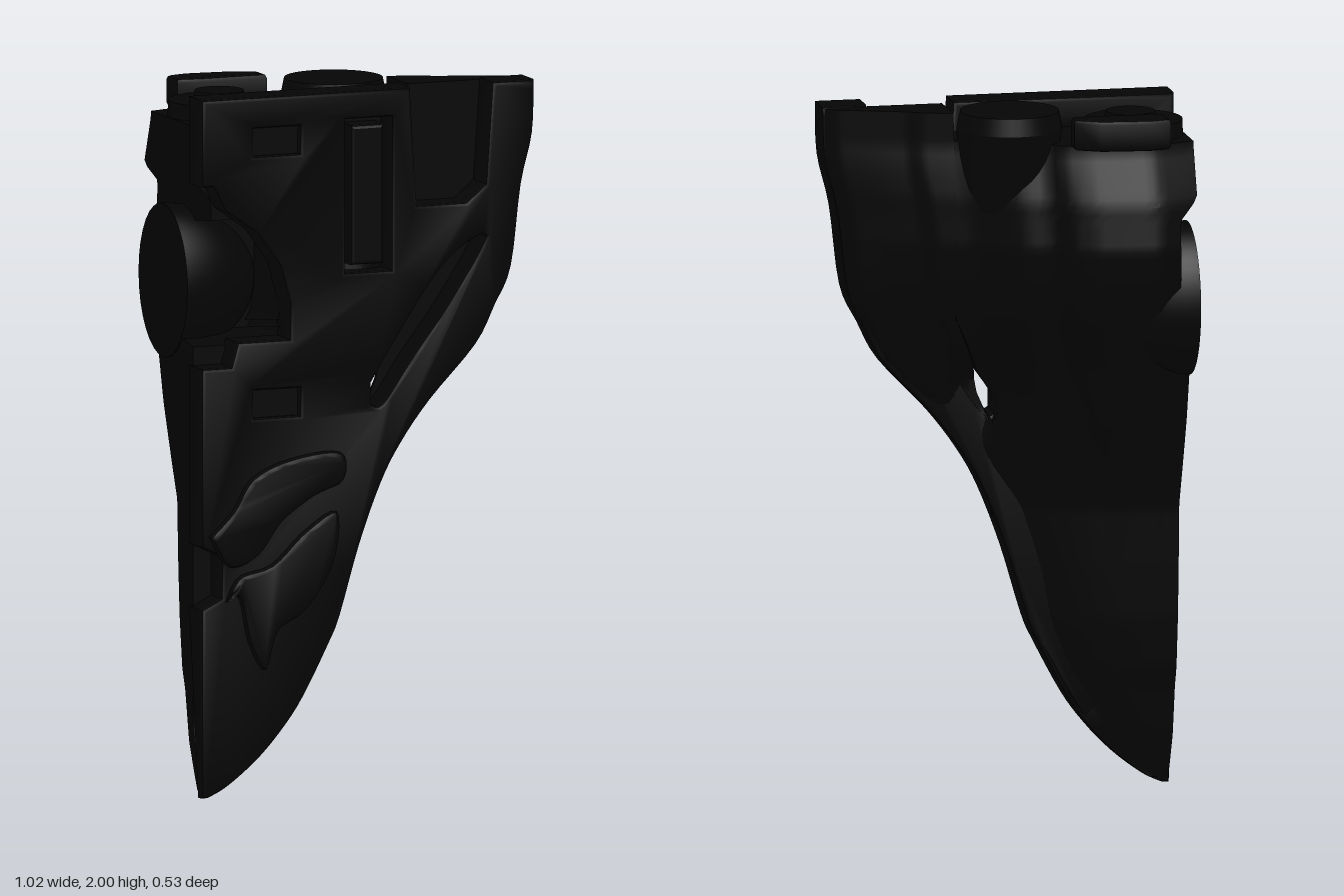
import * as THREE from 'three';
import { toCreasedNormals } from 'three/addons/utils/BufferGeometryUtils.js';

const points = list => list.map(p => new THREE.Vector2(p[0], p[1]));
const smoothLine = (list, n) => new THREE.SplineCurve(points(list)).getPoints(n).map(v => [v.x, v.y]);

// Linear interpolation through [key, value] pairs
function lerpTable(table, k) {
  if (k <= table[0][0]) return table[0][1];
  for (let i = 1; i < table.length; i++) {
    const [a, va] = table[i - 1], [b, vb] = table[i];
    if (k <= b) return va + (vb - va) * (k - a) / (b - a);
  }
  return table[table.length - 1][1];
}

// Outer curved edge, as [y, x]
const EDGE = smoothLine([[0, -0.49], [0.03, -0.43], [0.1, -0.34], [0.18, -0.265], [0.27, -0.2], [0.42, -0.12], [0.5, -0.085],
  [0.7, -0.025], [0.87, 0.04], [0.98, 0.1], [1.1, 0.19], [1.25, 0.33], [1.36, 0.39], [1.47, 0.44], [1.7, 0.47], [1.85, 0.505], [2, 0.51]], 64);
// Furthest point to the rear at each height, as [y, z]
const REAR = [[0, 0.2], [0.06, 0.17], [0.15, 0.13], [0.3, 0.1], [0.35, 0.08], [0.5, 0.06], [0.65, 0.05], [0.83, 0.04],
  [0.92, 0], [1.1, -0.08], [1.25, -0.13], [1.4, -0.2], [1.52, -0.25], [1.62, -0.268], [1.75, -0.25], [1.9, -0.19], [2, -0.19]];
// Upper cross-section of the rear, from the inner edge to the outer edge
const SECTION = [[0, -0.22], [0.13, -0.27], [0.3, -0.25], [0.37, -0.22], [0.42, -0.17], [0.5, -0.15], [0.64, -0.06],
  [0.74, -0.02], [0.78, 0.01], [0.96, 0.09], [1, 0.13]];
const INNER = [[0, -0.505], [1.29, -0.505], [1.35, -0.46], [1.62, -0.45], [1.7, -0.45], [1.76, -0.505]];
// Seam between body and wing; the two sides part around the opening
const SEAM_IN = [[0.8, 0.015], [1.08, 0.02], [1.11, 0.005], [1.16, 0.02], [1.23, 0.07], [1.4, 0.15], [2, 0.16]];
const SEAM_OUT = [[0.8, 0.015], [1.08, 0.02], [1.11, 0.04], [1.16, 0.062], [1.23, 0.075], [1.4, 0.15], [2, 0.16]];

function rearZ(x, y) {
  const u = THREE.MathUtils.clamp((x + 0.51) / (lerpTable(EDGE, y) + 0.511), 0, 1);
  const t = THREE.MathUtils.smoothstep(y, 0.6, 1.35);
  const low = 0.18 - 0.45 * (1 - Math.pow(u, 2.5));
  const z = low + (lerpTable(SECTION, u) - low) * t;
  // The shell thins out around the opening
  const hollow = 0.1 * Math.exp(-(((x - 0.06) / 0.07) ** 2) - ((y - 1.17) / 0.11) ** 2);
  return 0.18 + (z - 0.18) * (0.18 - lerpTable(REAR, y)) / 0.45 + hollow;
}

// Closed loft through horizontal cross-sections
function loft(y0, y1, rows, left, right, front) {
  const n = 30, ring = 2 * n + 2, pos = [], index = [];
  for (let j = 0; j <= rows; j++) {
    const y = y0 + (y1 - y0) * j / rows, l = left(y), r = Math.max(right(y), l + 0.002);
    for (let k = 0; k < ring; k++) {
      const isBack = k <= n, i = isBack ? k : ring - 1 - k, x = l + (r - l) * i / n, zf = front(x, y);
      pos.push(x, y, isBack ? Math.min(rearZ(x, y), zf - 0.01) : zf);
    }
  }
  for (let j = 0; j < rows; j++) for (let k = 0; k < ring; k++) {
    const a = j * ring + k, b = j * ring + (k + 1) % ring;
    index.push(a, a + ring, b, b, a + ring, b + ring);
  }
  const top = rows * ring;
  for (let i = 0; i < n; i++) {
    const f = ring - 1 - i;
    index.push(top + i, top + f, top + i + 1, top + i + 1, top + f, top + f - 1);
    index.push(i, i + 1, f, i + 1, f - 1, f);
  }
  const g = new THREE.BufferGeometry();
  g.setAttribute('position', new THREE.Float32BufferAttribute(pos, 3));
  g.setIndex(index);
  return toCreasedNormals(g, 0.7);
}

function slab(outline, holes, z0, z1, bevel) {
  const shape = new THREE.Shape(points(outline));
  holes.forEach(h => shape.holes.push(new THREE.Path(points(h))));
  const g = new THREE.ExtrudeGeometry(shape, { depth: z1 - z0 - 2 * bevel, bevelThickness: bevel, bevelSize: bevel,
    bevelOffset: -bevel, bevelSegments: 2, curveSegments: 8 });
  return g.translate(0, 0, z0 + bevel);
}

const rect = (x0, x1, y0, y1) => [[x0, y0], [x1, y0], [x1, y1], [x0, y1]];

// Front of the rear body: set back behind the eye cut-out, thinner at the tip
function bodyFront(x, y) {
  if (y > 1.3 && y < 1.64 && x < -0.25) return 0;
  return Math.min(0.16 + Math.max(0, 0.2 - y) * 0.25, 0.22);
}

export function createModel() {
  const group = new THREE.Group();
  const black = new THREE.MeshStandardMaterial({ color: 0x050505 });
  black.name = 'matte black';
  const add = (name, geometry) => {
    const mesh = new THREE.Mesh(geometry, black);
    mesh.name = name;
    group.add(mesh);
    return mesh;
  };

  // Flat face plate with the eye cut-out, edge notches, slots and openings
  const outline = [[-0.51, 2], [-0.51, 1.75], [-0.475, 1.75], [-0.44, 1.68], [-0.34, 1.61], [-0.27, 1.51], [-0.24, 1.4],
    [-0.24, 1.3], [-0.4, 1.3], [-0.42, 1.23], [-0.51, 1.23], [-0.51, 0.72], [-0.45, 0.69], [-0.45, 0.57], [-0.51, 0.54], [-0.51, 0],
    ...EDGE.map(([y, x]) => [x, y]), [0.38, 2], [0.36, 1.71], [0.3, 1.66], [0.15, 1.66], [0.13, 2]];
  const holes = [
    rect(-0.07, 0.07, 1.48, 1.92),
    rect(-0.35, -0.21, 1.83, 1.91),
    rect(-0.35, -0.21, 1.08, 1.16),
    smoothLine([[0.01, 1.1], [0.045, 1.1], [0.13, 1.22], [0.25, 1.38], [0.36, 1.56], [0.27, 1.52], [0.18, 1.42], [0.06, 1.24], [0.01, 1.16]], 32),
  ];
  const plate = slab(outline, holes, 0.13, 0.24, 0.012);
  const p = plate.attributes.position;
  for (let i = 0; i < p.count; i++) // thin the plate towards its tip
    if (p.getZ(i) < 0.18 && p.getY(i) < 0.3) p.setZ(i, p.getZ(i) + (0.3 - p.getY(i)) * 0.22);
  plate.computeVertexNormals();
  add('facePlate', toCreasedNormals(plate, 0.7));

  // Recessed floors of the slots
  add('slotPanel', slab(rect(-0.05, 0.05, 1.5, 1.9), [], 0.14, 0.232, 0.01));
  for (const y of [1.87, 1.12]) add('ventFloor', new THREE.BoxGeometry(0.15, 0.09, 0.06).translate(-0.28, y, 0.19));

  // Rear body and the tapering outer wing
  add('rearBody', loft(0.02, 1.915, 90, y => Math.min(lerpTable(INNER, y), lerpTable(EDGE, y) - 0.01),
    y => (y < 0.8 ? lerpTable(EDGE, y) - 0.004 : lerpTable(SEAM_IN, y)), bodyFront));
  add('outerWing', loft(0.8, 1.995, 60, y => lerpTable(SEAM_OUT, y), y => lerpTable(EDGE, y) - 0.004, () => 0.145));

  // Half eyeball, cut flat on the inner side
  const eye = add('eye', new THREE.SphereGeometry(1, 32, 24, Math.PI / 2, Math.PI));
  const cut = add('eyeCut', new THREE.CircleGeometry(1, 32));
  cut.rotation.y = -Math.PI / 2;
  eye.scale.set(0.27, 0.22, 0.18);
  cut.scale.set(0.18, 0.22, 1);
  for (const part of [eye, cut]) part.position.set(-0.51, 1.445, -0.05);

  // Round columns standing at the top
  const column = (name, x, z, rTop, rBottom, y0, y1) =>
    add(name, new THREE.CylinderGeometry(rTop, rBottom, y1 - y0, 40, 6).translate(x, (y0 + y1) / 2, z));
  column('mainColumn', 0, -0.02, 0.14, 0.15, 1.95, 2);
  const stem = column('mainColumnStem', 0, -0.02, 0.15, 0.11, 1.45, 1.95).geometry;
  const s = stem.attributes.position;
  for (let i = 0; i < s.count; i++) s.setZ(i, s.getZ(i) + (1.95 - s.getY(i)) * 0.2); // lean into the body
  stem.computeVertexNormals();
  column('sideColumn', -0.36, -0.01, 0.14, 0.145, 1.8, 1.96);
  column('sideColumnCap', -0.35, -0.02, 0.07, 0.075, 1.94, 1.985);

  // Rear strap over the upper bulge
  const strap = slab([[-0.42, 0.24], [-0.36, 0.255], [-0.22, 0.24], [-0.15, 0.2], [-0.15, 0.15], [-0.35, 0.15], [-0.42, 0.16]], [], 0, 0.09, 0.012);
  strap.rotateX(-Math.PI / 2).translate(0, 1.91, 0);
  add('rearStrap', toCreasedNormals(strap, 0.7));

  // Raised flowing relief on the lower face
  const reliefs = [
    [[-0.49, 0.75], [-0.42, 0.82], [-0.36, 0.91], [-0.24, 0.96], [-0.09, 0.97], [-0.08, 0.89], [-0.17, 0.85], [-0.27, 0.78], [-0.34, 0.69], [-0.43, 0.66]],
    [[-0.44, 0.56], [-0.4, 0.57], [-0.37, 0.44], [-0.32, 0.36], [-0.28, 0.47], [-0.19, 0.53], [-0.11, 0.66], [-0.1, 0.8], [-0.2, 0.75], [-0.3, 0.66], [-0.4, 0.63]],
  ];
  for (const r of reliefs)
    add('faceRelief', toCreasedNormals(slab(smoothLine([...r, r[0]], 50).slice(0, -1), [], 0.22, 0.26, 0.014), 0.7));
  return group;
}
